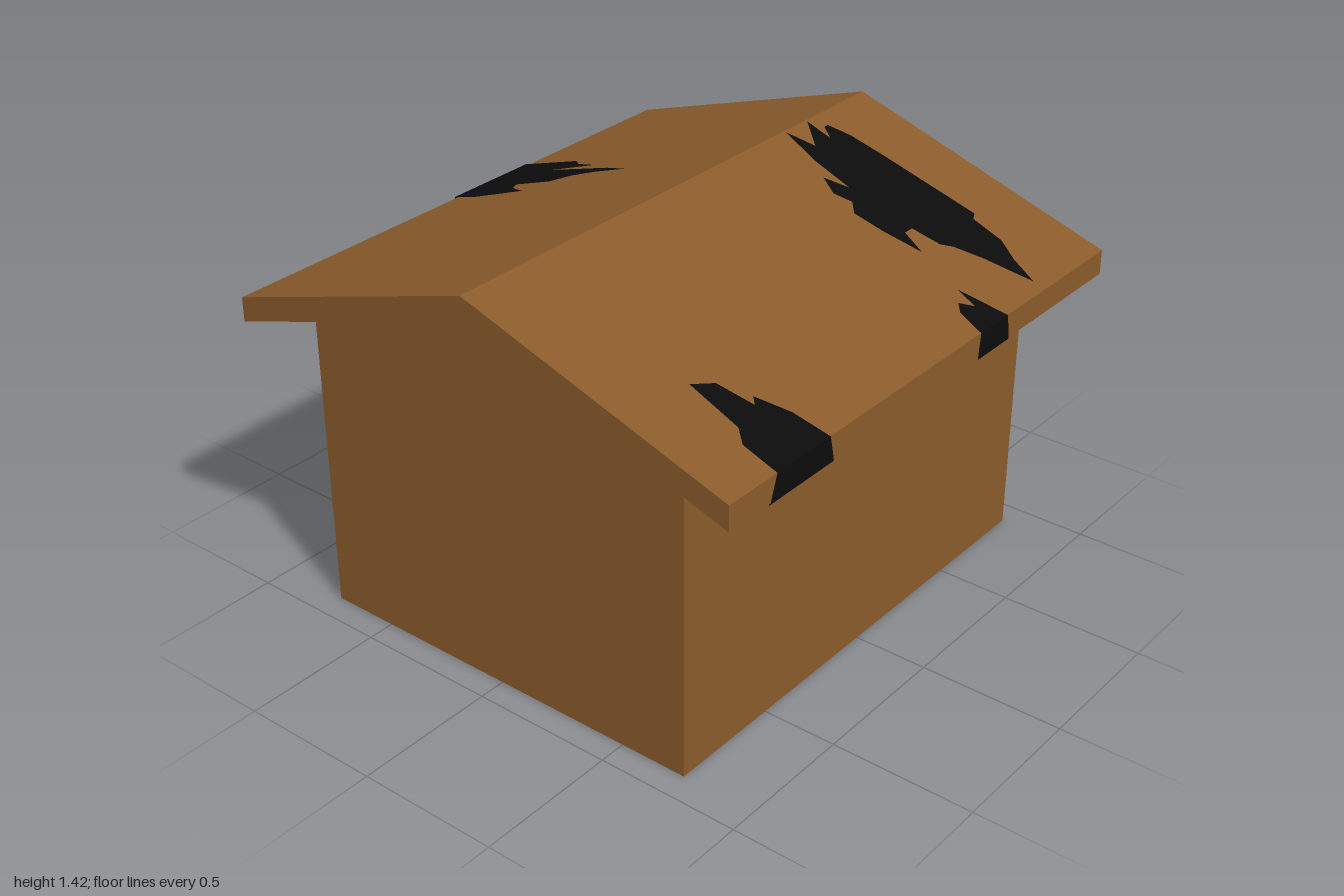
import * as THREE from 'three';

const EAVE = 0.97, RIDGE_Y = 1.415, SLOPE = 0.325, THICK = 0.086;
const WALL_X = 0.74, WALL_Z = 0.905, LIFT = 0.004;
const topY = (x) => RIDGE_Y - SLOPE * Math.abs(x);
const underY = (x) => topY(x) - THICK;

// Charred patches on the roof slopes: [x, z] outlines
const topPatches = [
  [[0.06, -0.71], [0.14, -0.735], [0.27, -0.745], [0.62, -0.76], [0.635, -0.73], [0.75, -0.72], [0.83, -0.67],
    [0.93, -0.63], [0.77, -0.58], [0.68, -0.54], [0.65, -0.51], [0.55, -0.495], [0.55, -0.455], [0.64, -0.42],
    [0.51, -0.395], [0.4, -0.385], [0.36, -0.43], [0.3, -0.41], [0.23, -0.45], [0.31, -0.485], [0.16, -0.5],
    [0.01, -0.54], [0.11, -0.57], [0.01, -0.66], [0.11, -0.655], [0.06, -0.69]],
  [[0.974, -0.405], [0.81, -0.365], [0.89, -0.345], [0.85, -0.31], [0.88, -0.275], [0.974, -0.25]],
  [[0.974, 0.54], [0.85, 0.555], [0.745, 0.6], [0.77, 0.625], [0.65, 0.65], [0.61, 0.72], [0.8, 0.74],
    [0.85, 0.785], [0.974, 0.79]],
  [[-0.974, -0.33], [-0.735, -0.33], [-0.69, -0.29], [-0.6, -0.265], [-0.77, -0.235], [-0.5, -0.22],
    [-0.4, -0.195], [-0.52, -0.18], [-0.6, -0.15], [-0.65, -0.095], [-0.79, -0.08], [-0.77, -0.04],
    [-0.69, 0], [-0.87, 0.043], [-0.974, 0.035]],
];
const underPatch = [[0.97, 0.54], [0.9, 0.5], [0.85, 0.45], [0.74, 0.35], [0.74, 0.68], [0.85, 0.75], [0.97, 0.82]];

// Burnt eave boards: side, z range at the top, z range at the bottom
const eavePatches = [
  [1, -0.405, -0.25, -0.42, -0.24],
  [1, 0.54, 0.79, 0.52, 0.82],
  [-1, -0.33, 0.035, -0.33, 0.04],
];

const outline = (pts) => new THREE.Shape(pts.map(([a, b]) => new THREE.Vector2(a, b)));

// Flat outline moved vertex by vertex onto a surface
function drape(pts, place) {
  const geo = new THREE.ShapeGeometry(outline(pts));
  const p = geo.attributes.position;
  for (let i = 0; i < p.count; i++) p.setXYZ(i, ...place(p.getX(i), p.getY(i)));
  geo.computeVertexNormals();
  return geo;
}

export function createModel() {
  const group = new THREE.Group();
  const wood = new THREE.MeshStandardMaterial({ name: 'brownWood', color: 0x8b5c2b, side: THREE.DoubleSide });
  const char = new THREE.MeshStandardMaterial({ name: 'charredBlack', color: 0x0c0c0c, side: THREE.DoubleSide });
  const add = (name, geo, mat) => {
    const mesh = new THREE.Mesh(geo, mat);
    mesh.name = name;
    group.add(mesh);
    return mesh;
  };

  // Walls: thin shell, open underneath
  const wallTop = underY(WALL_X);
  const gable = new THREE.ShapeGeometry(outline(
    [[-WALL_X, 0], [WALL_X, 0], [WALL_X, wallTop], [0, underY(0)], [-WALL_X, wallTop]]));
  const side = new THREE.PlaneGeometry(WALL_Z * 2, wallTop).translate(0, wallTop / 2, WALL_X);
  add('frontWall', gable.clone().translate(0, 0, WALL_Z), wood);
  add('backWall', gable.clone().translate(0, 0, WALL_Z).rotateY(Math.PI), wood);
  add('leftWall', side.clone().rotateY(Math.PI / 2), wood);
  add('rightWall', side.clone().rotateY(-Math.PI / 2), wood);

  // Roof: chevron slab
  const roof = new THREE.ExtrudeGeometry(outline([
    [-EAVE, underY(EAVE)], [0, underY(0)], [EAVE, underY(EAVE)],
    [EAVE, topY(EAVE)], [0, topY(0)], [-EAVE, topY(EAVE)],
  ]), { depth: 2, bevelEnabled: false }).translate(0, 0, -1);
  add('roof', roof, wood);

  // Charred patches on slopes, eave edges and overhang
  topPatches.forEach((pts, i) =>
    add('roofPatch' + (i + 1), drape(pts, (x, z) => [x, topY(x) + LIFT, z]), char));
  eavePatches.forEach(([s, a, b, c, d], i) => {
    const hi = topY(EAVE) + LIFT, lo = underY(EAVE);
    add('eavePatch' + (i + 1),
      drape([[c, lo], [d, lo], [b, hi], [a, hi]], (z, y) => [s * (EAVE + LIFT), y, z]), char);
  });
  add('overhangPatch', drape(underPatch, (x, z) => [x, underY(x) - LIFT, z]), char);

  return group;
}
